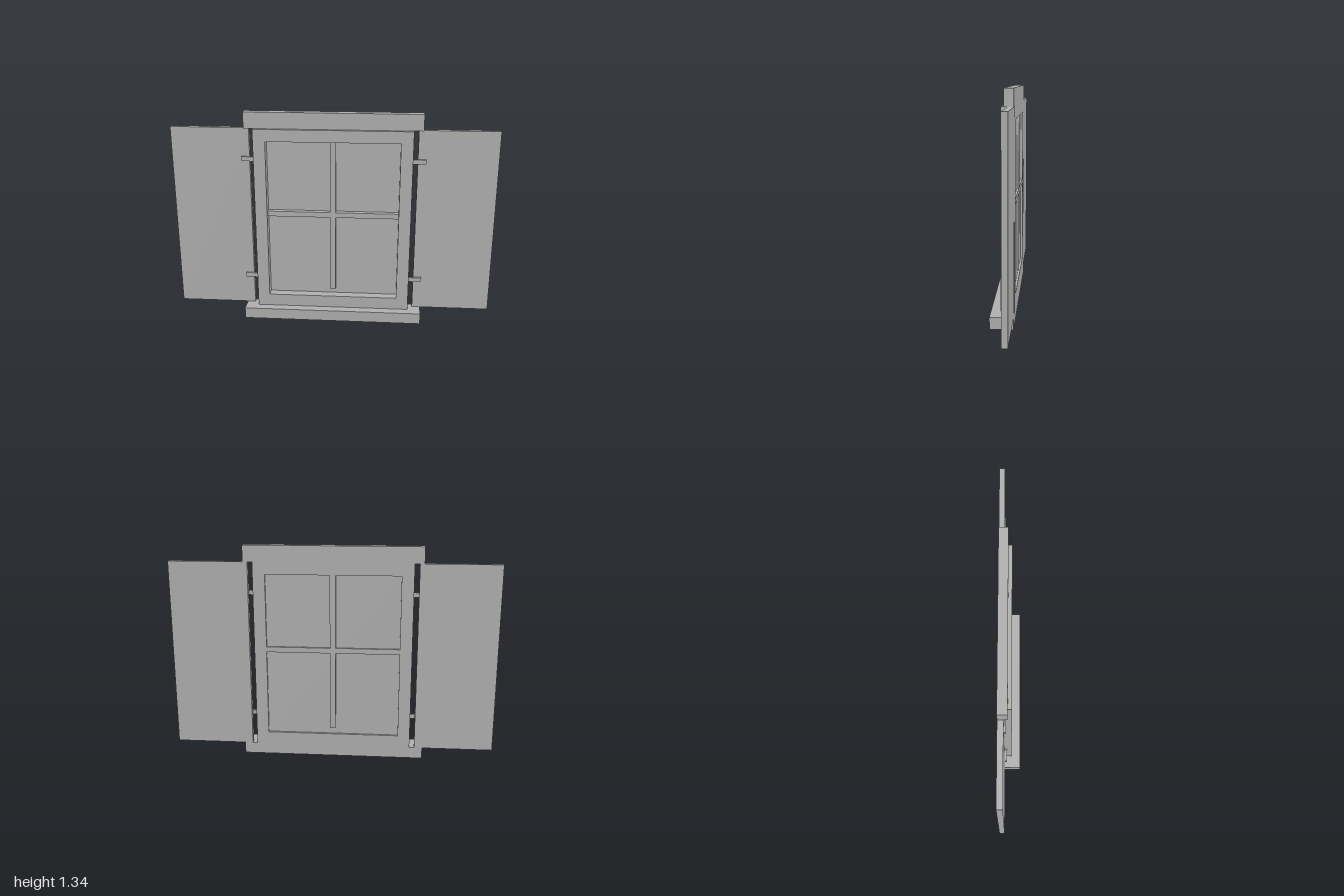
import * as THREE from 'three';

const BACK = -0.068; // shared rear plane of the wall-side parts

export function createModel() {
  const model = new THREE.Group();
  model.name = 'shutteredWindow';
  const grey = new THREE.MeshStandardMaterial({ color: 0xb0b0b0 });
  grey.name = 'plain grey';

  // Box given by its limits on each axis
  function block(name, x0, x1, y0, y1, z0, z1) {
    const mesh = new THREE.Mesh(new THREE.BoxGeometry(x1 - x0, y1 - y0, z1 - z0), grey);
    mesh.position.set((x0 + x1) / 2, (y0 + y1) / 2, (z0 + z1) / 2);
    mesh.name = name;
    model.add(mesh);
  }

  function rectangle(PathType, x, y0, y1) {
    return new PathType([[-x, y0], [x, y0], [x, y1], [-x, y1]].map(p => new THREE.Vector2(...p)));
  }

  // Sill and lintel
  block('sill', -0.565, 0.565, 0, 0.07, BACK, 0.068);
  block('lintel', -0.543, 0.543, 1.235, 1.335, BACK, -0.012);

  // Window frame with one large opening
  const outline = rectangle(THREE.Shape, 0.485, 0.07, 1.235);
  outline.holes.push(rectangle(THREE.Path, 0.41, 0.147, 1.16));
  const frame = new THREE.Mesh(
    new THREE.ExtrudeGeometry(outline, { depth: 0.01 - BACK, bevelEnabled: false }), grey);
  frame.position.z = BACK;
  frame.name = 'windowFrame';
  model.add(frame);

  // Pane and glazing bars; the upright stops short of the bottom rail
  block('pane', -0.41, 0.41, 0.147, 1.16, -0.054, -0.05);
  block('uprightBar', -0.018, 0.018, 0.187, 1.16, -0.067, -0.016);
  for (const [side, x0, x1] of [['right', -0.41, -0.018], ['left', 0.018, 0.41]]) {
    block(side + 'CrossBar', x0, x1, 0.677, 0.71, -0.067, -0.016);
  }

  // Open shutters, each held by two hinges
  for (const [side, s] of [['left', 1], ['right', -1]]) {
    const span = (a, b) => (s > 0 ? [a, b] : [-b, -a]);
    block(side + 'Shutter', ...span(0.515, 1), 0.07, 1.235, BACK, -0.034);
    for (const [level, y] of [['Lower', 0.267], ['Upper', 1.043]]) {
      block(side + level + 'Hinge', ...span(0.485, 0.565), y - 0.014, y + 0.014, -0.034, -0.021);
    }
  }
  return model;
}
